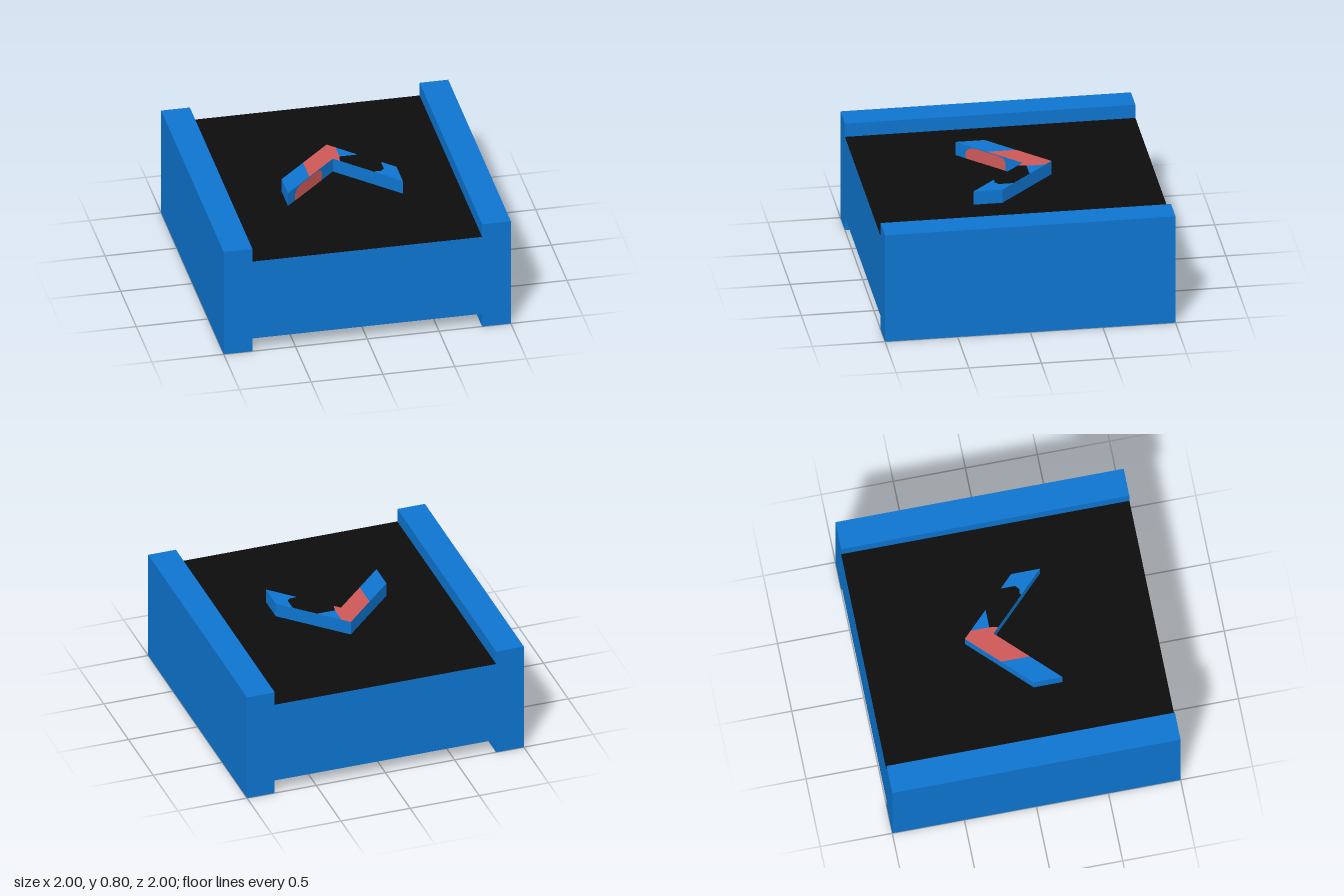
import * as THREE from 'three';

const blue = new THREE.MeshStandardMaterial({ color: 0x0d74ce });
blue.name = 'blue';
const black = new THREE.MeshStandardMaterial({ color: 0x0c0c0c });
black.name = 'black';
const red = new THREE.MeshStandardMaterial({ color: 0xcc5858 });
red.name = 'red';

const shapeOf = (points) => new THREE.Shape(points.map(([x, y]) => new THREE.Vector2(x, y)));

// Flat outline given as [x, z], laid horizontally
const planShape = (points) => shapeOf(points.map(([x, z]) => [x, -z]));

export function createModel() {
  const model = new THREE.Group();
  const add = (name, geometry, material) => {
    const mesh = new THREE.Mesh(geometry, material);
    mesh.name = name;
    model.add(mesh);
    return mesh;
  };
  // Painted area facing up at height y
  const paint = (name, points, y, material) =>
    add(name, new THREE.ShapeGeometry(planShape(points)).rotateX(-Math.PI / 2).translate(0, y, 0), material);

  // H-shaped body: deck with side rails above and below
  const profile = shapeOf([
    [-1, 0], [-0.8, 0], [-0.8, 0.1], [0.8, 0.1], [0.8, 0], [1, 0],
    [1, 0.8], [0.8, 0.8], [0.8, 0.7], [-0.8, 0.7], [-0.8, 0.8], [-1, 0.8],
  ]);
  add('body', new THREE.ExtrudeGeometry(profile, { depth: 2, bevelEnabled: false }).translate(0, 0, -1), blue);

  // Black deck surface
  paint('deckSurface', [[-0.8, 1], [0.8, 1], [0.8, -1], [-0.8, -1]], 0.701, black);

  // Raised chevron
  const chevron = planShape([[-0.4, 0.3], [0, -0.1], [0.4, 0.3], [0.4, 0.1], [0, -0.3], [-0.4, 0.1]]);
  add('chevron', new THREE.ExtrudeGeometry(chevron, { depth: 0.1, bevelEnabled: false })
    .rotateX(-Math.PI / 2).translate(0, 0.7, 0), blue);

  // Red paint over the chevron tip
  paint('redTopPatch', [
    [-0.21, 0.11], [0, -0.1], [0.04, -0.06], [0.05, -0.12], [0.05, -0.25], [0, -0.3], [-0.21, -0.09],
  ], 0.801, red);

  // Black paint over the middle of the left arm
  paint('blackTopPatch', [
    [0.04, -0.06], [0.24, 0.14], [0.25, 0.13], [0.28, 0.135], [0.31, 0.11],
    [0.31, 0.01], [0.18, -0.12], [0.05, -0.12],
  ], 0.801, black);

  // Red rounded patch on the inner face of the right arm
  const patch = shapeOf([
    [0.085, 0.7], [0.424, 0.7], [0.424, 0.765], [0.405, 0.788], [0.36, 0.796],
    [0.17, 0.796], [0.12, 0.785], [0.085, 0.75],
  ]);
  const sidePatch = add('redSidePatch', new THREE.ShapeGeometry(patch), red);
  sidePatch.rotation.y = Math.PI / 4;
  sidePatch.position.set(-0.399, 0, 0.301);

  return model;
}
